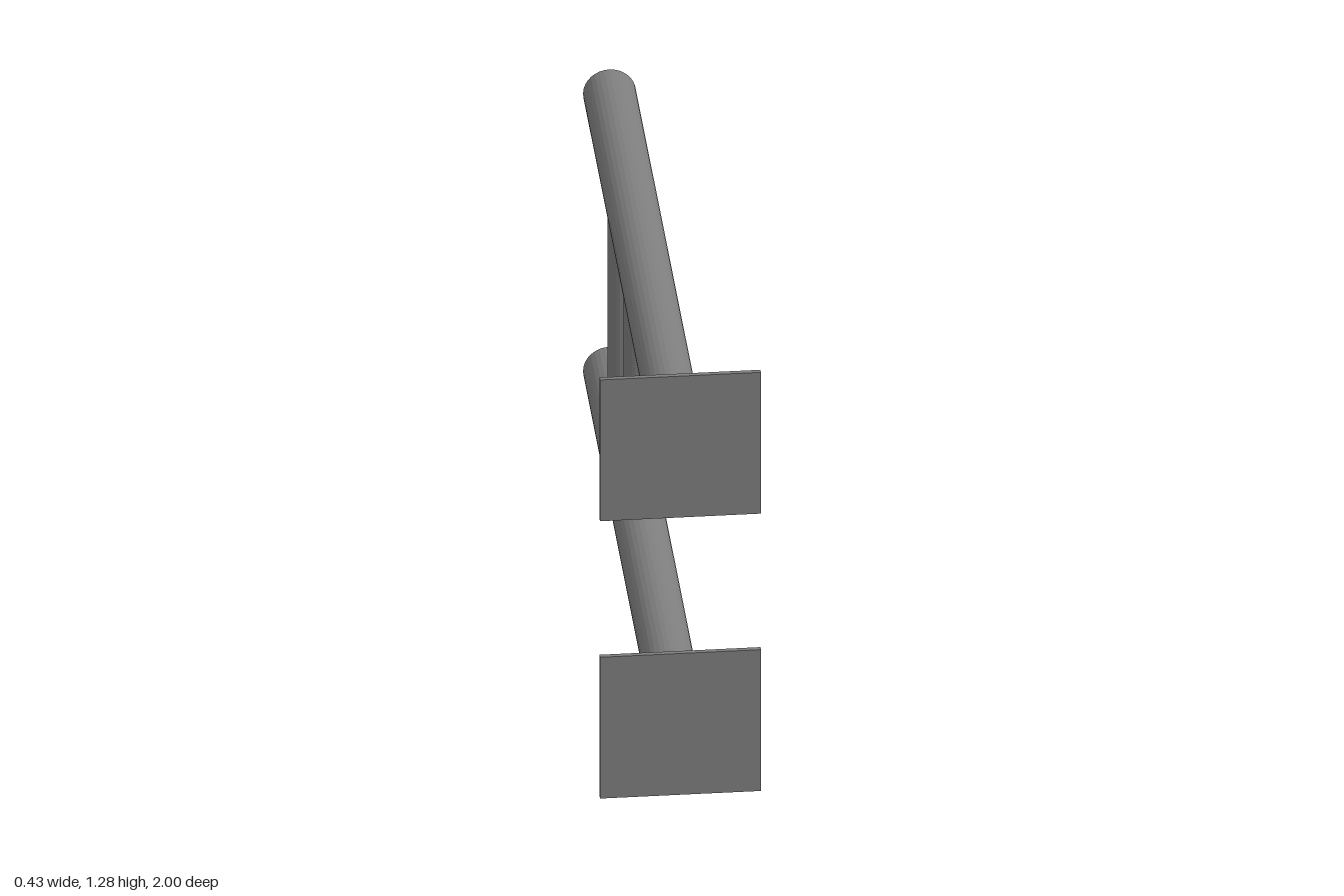
import * as THREE from 'three';

const material = new THREE.MeshStandardMaterial({ color: 0x7d7d7d, flatShading: true });

function add(parent, name, geometry, x, y, z) {
  const mesh = new THREE.Mesh(geometry, material);
  mesh.name = name;
  mesh.position.set(x, y, z);
  parent.add(mesh);
}

// Cylinder lying along z, with separate front and back radii
function rod(frontRadius, backRadius, length, sides = 32) {
  return new THREE.CylinderGeometry(frontRadius, backRadius, length, sides).rotateX(Math.PI / 2);
}

export function createModel() {
  const model = new THREE.Group();
  model.name = 'wallBracket';
  const levels = { lower: 0.217, upper: 1.067 };

  // Two identical arms, each with a mounting plate and an end knob
  for (const [level, y] of Object.entries(levels)) {
    const arm = new THREE.Group();
    arm.name = level + 'Arm';
    arm.position.y = y;
    model.add(arm);
    add(arm, 'mountingPlate', new THREE.BoxGeometry(0.433, 0.433, 0.014), 0, 0, 0.993);
    add(arm, 'armTube', rod(0.071, 0.071, 1.948), 0, 0, 0.016);
    // Short neck, then a knob with a chamfered inner edge
    add(arm, 'knobNeck', rod(0.016, 0.016, 0.02, 24), 0, 0, -0.965);
    add(arm, 'knobChamfer', rod(0.028, 0.036, 0.006, 24), 0, 0, -0.973);
    add(arm, 'knob', rod(0.036, 0.036, 0.024, 24), 0, 0, -0.988);
  }

  // Upright rungs sunk slightly into both arms
  for (const z of [-0.167, -0.595]) {
    add(model, 'rung', new THREE.CylinderGeometry(0.04, 0.04, 0.73, 24), 0, 0.642, z);
  }
  return model;
}
